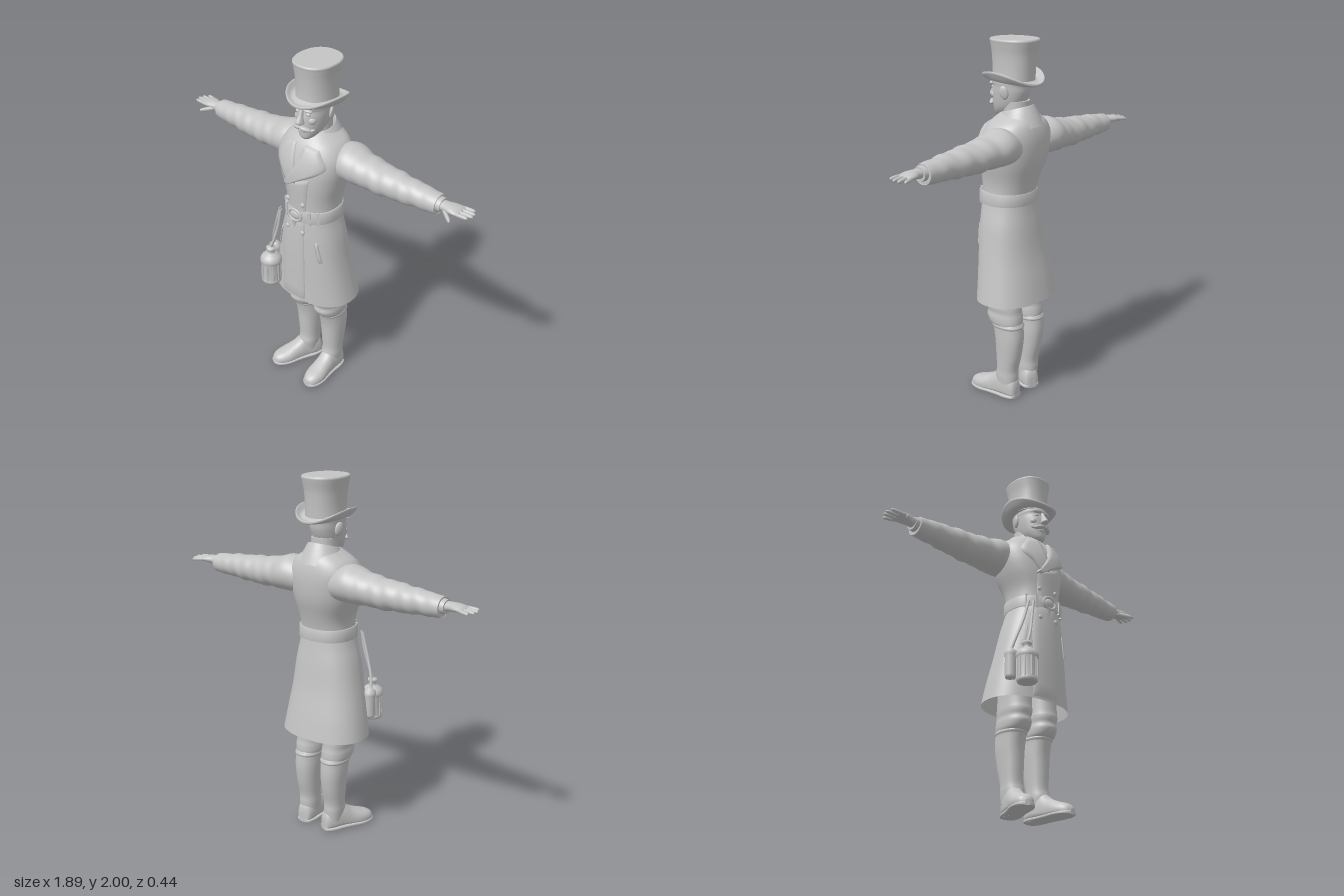
import * as THREE from 'three';

const clay = new THREE.MeshStandardMaterial({ color: 0xc4c4c4, side: THREE.DoubleSide });
clay.name = 'light grey clay';

function add(parent, name, geometry, position = [0, 0, 0], rotation = [0, 0, 0], scale = [1, 1, 1]) {
  const mesh = new THREE.Mesh(geometry, clay);
  mesh.name = name;
  mesh.position.set(...position);
  mesh.rotation.set(...rotation);
  mesh.scale.set(...scale);
  parent.add(mesh);
}

// Catmull-Rom subdivision of a list of cross-section rows
function smooth(rows, n = 5) {
  const out = [], last = rows.length - 1;
  for (let i = 0; i < last; i++) {
    const [p, a, b, q] = [rows[Math.max(i - 1, 0)], rows[i], rows[i + 1], rows[Math.min(i + 2, last)]];
    for (let k = 0; k < n; k++) {
      const t = k / n;
      out.push(a.map((v, c) => {
        const cubic = 3 * (v - b[c]) + q[c] - p[c];
        const square = 2 * p[c] - 5 * v + 4 * b[c] - q[c];
        return v + 0.5 * t * (b[c] - p[c] + t * (square + t * cubic));
      }));
    }
  }
  out.push(rows[last]);
  return out;
}

// Skin over rings: place(row, angle) gives a point; caps close both ends
function loft(rows, place, { seg = 40, caps = true, arc = [0, Math.PI * 2] } = {}) {
  const pos = [], idx = [], closed = arc[1] - arc[0] > 6.28, cols = closed ? seg : seg + 1;
  const ring = r => Array.from({ length: cols }, (_, j) => place(r, arc[0] + (arc[1] - arc[0]) * j / seg));
  rows.forEach(r => ring(r).forEach(p => pos.push(...p)));
  for (let i = 0; i < rows.length - 1; i++) for (let j = 0; j < seg; j++) {
    const a = i * cols + j, b = i * cols + (j + 1) % cols;
    idx.push(a, a + cols, b, b, a + cols, b + cols);
  }
  if (caps) [0, rows.length - 1].forEach(e => {
    const pts = ring(rows[e]), base = pos.length / 3;
    pts.forEach(p => pos.push(...p));
    pos.push(...[0, 1, 2].map(c => pts.reduce((s, p) => s + p[c], 0) / cols));
    for (let j = 0; j < cols; j++) {
      const k = (j + 1) % cols;
      if (e) idx.push(base + j, base + cols, base + k); else idx.push(base + k, base + cols, base + j);
    }
  });
  return meshFrom(pos, idx);
}

function meshFrom(pos, idx) {
  const g = new THREE.BufferGeometry();
  g.setAttribute('position', new THREE.Float32BufferAttribute(pos, 3));
  g.setIndex(idx);
  g.computeVertexNormals();
  return g;
}

const pw = (v, e) => Math.sign(v) * Math.abs(v) ** e;
const P = 2.3;
// Upright section: [y, centre x, half width, front z, back z]
const upright = ([y, cx, rx, zf, zb], a) => [
  cx + rx * pw(Math.cos(a), 2 / P), y, (zf + zb) / 2 + (zf - zb) / 2 * pw(Math.sin(a), 2 / P)];

const coatRows = smooth([
  [0.585, 0, 0.254, 0.142, -0.22], [0.7, 0, 0.235, 0.143, -0.2], [0.85, 0.004, 0.208, 0.145, -0.17],
  [1.0, 0.01, 0.182, 0.144, -0.15], [1.1, 0.014, 0.157, 0.14, -0.135], [1.17, 0.016, 0.145, 0.136, -0.13],
  [1.25, 0.014, 0.15, 0.14, -0.147], [1.35, 0.005, 0.182, 0.146, -0.178], [1.43, 0.002, 0.2, 0.142, -0.19],
  [1.5, 0, 0.2, 0.124, -0.19], [1.56, 0, 0.165, 0.096, -0.178], [1.6, 0, 0.11, 0.06, -0.155], [1.625, 0, 0.07, 0.03, -0.13]]);

// Depth of the coat's front surface at (x, y)
function frontZ(x, y) {
  let i = 1;
  while (i < coatRows.length - 1 && coatRows[i][0] < y) i++;
  const a = coatRows[i - 1], b = coatRows[i], t = Math.min(1, Math.max(0, (y - a[0]) / (b[0] - a[0])));
  const [, cx, rx, zf, zb] = a.map((v, c) => v + (b[c] - v) * t);
  const d = Math.min(1, Math.abs((x - cx) / rx));
  return (zf + zb) / 2 + (zf - zb) / 2 * (1 - d ** P) ** (1 / P);
}

// Cloth layer lying on the coat between two edges of [x, y] points
function clothPatch(edgeA, edgeB, lift) {
  const stops = [0, 0.03, 0.2, 0.35, 0.5, 0.65, 0.8, 0.97, 1];
  const A = smooth(edgeA, 6), B = smooth(edgeB, 6), pos = [], idx = [], n = stops.length;
  A.forEach((p, i) => stops.forEach((t, j) => {
    const x = p[0] + (B[i][0] - p[0]) * t, y = p[1] + (B[i][1] - p[1]) * t;
    const rim = j === 0 || j === n - 1 || i === 0 || i === A.length - 1;
    pos.push(x, y, frontZ(x, y) + (rim ? -0.004 : lift));
    if (i && j) { const d = i * n + j; idx.push(d - n - 1, d - 1, d - n, d - n, d - 1, d); }
  }));
  return meshFrom(pos, idx);
}

const tube = (pts, r) => new THREE.TubeGeometry(new THREE.CatmullRomCurve3(pts.map(p => new THREE.Vector3(...p))), 20, r, 8);
const lathe = pts => new THREE.LatheGeometry(pts.map(p => new THREE.Vector2(...p)), 28);
const ball = new THREE.SphereGeometry(1, 20, 14);

function buildHead(g) {
  add(g, 'neck', loft([[1.5, 0.005, 0.07, 0.03, -0.11], [1.68, 0.008, 0.066, 0.03, -0.11]], upright));
  add(g, 'head', loft(smooth([
    [1.592, 0.01, 0.022, 0.083, 0.03], [1.605, 0.01, 0.04, 0.094, -0.01], [1.635, 0.01, 0.06, 0.097, -0.055],
    [1.67, 0.01, 0.072, 0.1, -0.09], [1.72, 0.01, 0.081, 0.1, -0.112], [1.755, 0.01, 0.084, 0.094, -0.118],
    [1.78, 0.01, 0.086, 0.1, -0.122], [1.84, 0.01, 0.08, 0.08, -0.11]]), upright));
  add(g, 'nose', loft(smooth([
    [1.682, 0.01, 0.008, 0.112, 0.08], [1.692, 0.01, 0.02, 0.134, 0.08], [1.705, 0.01, 0.018, 0.137, 0.08],
    [1.735, 0.01, 0.011, 0.118, 0.08], [1.765, 0.01, 0.009, 0.103, 0.08]]), upright, { seg: 16 }));
  add(g, 'mouth', ball, [0.01, 1.645, 0.094], [0, 0, 0], [0.025, 0.008, 0.01]);
  for (const s of [-1, 1]) {
    add(g, 'moustache', ball, [0.01 + s * 0.026, 1.662, 0.1], [0, s * 0.45, -s * 0.25], [0.034, 0.012, 0.016]);
    add(g, 'moustacheTip', ball, [0.01 + s * 0.054, 1.656, 0.082], [0, s * 0.7, s * 0.3], [0.018, 0.006, 0.008]);
    add(g, 'brow', ball, [0.01 + s * 0.036, 1.765, 0.092], [0, s * 0.3, -s * 0.1], [0.027, 0.008, 0.013]);
    add(g, 'eye', ball, [0.01 + s * 0.034, 1.742, 0.083], [0, 0, 0], [0.015, 0.01, 0.013]);
    add(g, 'cheek', ball, [0.01 + s * 0.045, 1.705, 0.072], [0, s * 0.5, 0], [0.024, 0.022, 0.018]);
    add(g, 'ear', ball, [0.01 + s * 0.09, 1.727, -0.03], [0.2, s * 0.35, -s * 0.15], [0.012, 0.037, 0.024]);
  }
}

function buildHat(g) {
  add(g, 'hatCrown', loft(smooth([
    [1.785, 0.01, 0.1, 0.092, -0.137], [1.85, 0.01, 0.098, 0.09, -0.14], [1.92, 0.009, 0.102, 0.094, -0.146],
    [1.975, 0.008, 0.112, 0.101, -0.158], [1.992, 0.008, 0.115, 0.104, -0.161], [2.0, 0.008, 0.11, 0.1, -0.156]]), upright));
  // Curled brim, turned up at the sides: [half width, half depth, y, side lift]
  add(g, 'hatBrim', loft(smooth([
    [0.085, 0.1, 1.785, 0], [0.125, 0.14, 1.775, 0.012], [0.15, 0.164, 1.776, 0.045], [0.156, 0.167, 1.785, 0.05],
    [0.15, 0.163, 1.791, 0.048], [0.125, 0.14, 1.788, 0.02], [0.095, 0.112, 1.8, 0.008]], 4),
    ([rx, rz, y, lift], a) => [0.012 + rx * Math.cos(a), y + lift * Math.cos(a) ** 2 + 0.012 * Math.sin(a), -0.022 + rz * Math.sin(a)],
    { seg: 56, caps: false }));
}

function buildCoat(g) {
  add(g, 'coat', loft(coatRows, upright, { seg: 64, caps: false }));
  const collar = smooth([[0.145, 0.14, 1.555, 0.1], [0.122, 0.12, 1.6, 0.09], [0.09, 0.095, 1.65, 0.06],
    [0.078, 0.086, 1.658, 0.05], [0.07, 0.078, 1.6, 0.04]]);
  add(g, 'collar', loft(collar, ([rx, rz, y, drop], a) => [
    0.004 + rx * Math.cos(a), y - drop * (1 + Math.sin(a)) / 2, -0.047 + rz * Math.sin(a)],
    { seg: 48, caps: false, arc: [Math.PI * 0.62, Math.PI * 2.38] }));
  add(g, 'rightLapel', clothPatch([[-0.1, 1.555], [-0.155, 1.47], [-0.1, 1.4], [-0.055, 1.34]],
    [[-0.03, 1.57], [-0.015, 1.5], [0, 1.42], [0.01, 1.35]], 0.012));
  add(g, 'leftLapel', clothPatch([[0.035, 1.57], [0.015, 1.49], [-0.03, 1.4], [-0.08, 1.325]],
    [[0.11, 1.555], [0.16, 1.46], [0.05, 1.39], [-0.06, 1.32]], 0.018));
  add(g, 'frontPanel', clothPatch([[-0.1, 1.15], [-0.1, 0.9], [-0.1, 0.587]], [[0.06, 1.15], [0.062, 0.9], [0.064, 0.587]], 0.008));
  add(g, 'chestPanel', clothPatch([[-0.07, 1.335], [-0.065, 1.26], [-0.06, 1.16]], [[0.09, 1.4], [0.075, 1.28], [0.062, 1.16]], 0.007));
  for (const s of [-1, 1]) add(g, 'pocketWelt',
    clothPatch([[s * 0.118, 1.01], [s * 0.145, 0.87]], [[s * 0.132, 1.015], [s * 0.16, 0.877]], 0.007));
  add(g, 'necktie', ball, [0.006, 1.575, 0.052], [0.2, 0, 0], [0.022, 0.03, 0.016]);
  for (const y of [1.235, 1.06]) for (const x of [-0.055, 0.055])
    add(g, 'button', ball, [x, y, frontZ(x, y) + 0.01], [0, 0, 0], [0.013, 0.013, 0.008]);
}

function buildBelt(g) {
  const row = (y, grow) => [y, 0.016, 0.147 + grow, 0.138 + grow, -0.131 - grow];
  add(g, 'belt', loft([row(1.125, 0.002), row(1.127, 0.012), row(1.19, 0.01), row(1.193, -0.004)], upright, { seg: 64, caps: false }));
  add(g, 'buckle', new THREE.TorusGeometry(0.034, 0.008, 8, 28), [0.005, 1.158, 0.153], [0, 0, 0], [1.25, 1, 0.9]);
  add(g, 'bucklePlate', ball, [0.005, 1.158, 0.15], [0, 0, 0], [0.034, 0.026, 0.012]);
  add(g, 'beltEnd', new THREE.ConeGeometry(0.02, 0.055, 12), [0.0, 1.1, 0.15], [Math.PI, 0, 0], [1, 1, 0.5]);
  for (const x of [-0.11, -0.07, 0.09, 0.13])
    add(g, 'beltLoop', new THREE.BoxGeometry(0.016, 0.08, 0.012), [x, 1.158, frontZ(x, 1.158) + 0.012], [0, x * 4, 0]);
}

function buildArm(g, s) {
  const along = ([x, cy, cz, ry, rz, fold], a) => {
    const k = 1 + fold * Math.sin(x * 75 + 2 * a) + fold * Math.sin(x * 43 - a);
    return [s * x, cy + ry * k * Math.cos(a), cz - s * rz * k * Math.sin(a)];
  };
  add(g, 'sleeve', loft(smooth([
    [0.1, 1.45, -0.07, 0.085, 0.095, 0], [0.2, 1.464, -0.073, 0.1, 0.115, 0], [0.3, 1.451, -0.07, 0.086, 0.1, 0.02],
    [0.42, 1.442, -0.069, 0.079, 0.089, 0.025], [0.55, 1.44, -0.07, 0.07, 0.075, 0.03], [0.66, 1.438, -0.073, 0.061, 0.064, 0.025],
    [0.745, 1.437, -0.075, 0.054, 0.057, 0], [0.752, 1.437, -0.075, 0.05, 0.053, 0]], 8), along));
  add(g, 'shirtCuff', loft([[0.74, 1.442, -0.073, 0.04, 0.044, 0], [0.775, 1.442, -0.073, 0.035, 0.04, 0]], along));
  add(g, 'palm', loft(smooth([
    [0.73, 1.442, -0.072, 0.028, 0.034, 0], [0.79, 1.446, -0.07, 0.024, 0.034, 0], [0.83, 1.448, -0.072, 0.021, 0.045, 0],
    [0.865, 1.447, -0.075, 0.015, 0.047, 0], [0.88, 1.446, -0.076, 0.008, 0.038, 0]]), along, { seg: 24 }));
  const finger = (name, x0, y0, z0, x1, y1, z1, r) => add(g, name, loft(smooth([
    [0, 0.9], [0.5, 1], [0.85, 0.85], [0.96, 0.55], [1, 0.1]], 3), ([t, k], a) => [
    s * (x0 + (x1 - x0) * t), y0 + (y1 - y0) * t + r * k * Math.cos(a), z0 + (z1 - z0) * t - s * r * k * Math.sin(a)], { seg: 12 }));
  [[0.922, -0.128], [0.94, -0.1], [0.944, -0.072], [0.932, -0.042]].forEach(([tip, z], i) =>
    finger('finger', 0.85, 1.447, -0.11 + i * 0.024, tip, 1.441 + i * 0.002, z, 0.0105));
  finger('thumb', 0.79, 1.436, -0.05, 0.862, 1.418, 0.0, 0.013);
}

function buildLeg(g, s) {
  const hip = s < 0 ? -0.083 : 0.1, ankle = s < 0 ? -0.07 : 0.107;
  const rows = list => smooth(list.map(([y, rx, zf, zb]) => [y, ankle + (hip - ankle) * Math.min(1, y / 0.5), rx, zf, zb]));
  add(g, 'breeches', loft(rows([[0.43, 0.058, 0.02, -0.13], [0.45, 0.073, 0.05, -0.142], [0.485, 0.076, 0.07, -0.142], [0.515, 0.073, 0.066, -0.137],
    [0.55, 0.077, 0.075, -0.135], [0.62, 0.076, 0.07, -0.13], [0.95, 0.08, 0.08, -0.12]]), upright));
  add(g, 'bootShaft', loft(rows([[0.06, 0.05, 0.0, -0.115], [0.12, 0.055, 0.012, -0.12], [0.17, 0.055, 0.004, -0.12], [0.26, 0.061, 0.008, -0.14],
    [0.35, 0.067, 0.014, -0.151], [0.42, 0.068, 0.028, -0.149], [0.445, 0.071, 0.037, -0.147], [0.452, 0.067, 0.033, -0.143]]), upright));
  add(g, 'bootTopSeam', loft(rows([[0.425, 0.068, 0.03, -0.148], [0.435, 0.073, 0.036, -0.152], [0.445, 0.07, 0.035, -0.148]]), upright, { caps: false }));
  // Foot, built around the ankle and turned outward
  const foot = new THREE.Group();
  foot.name = 'foot';
  foot.position.set(ankle, 0.008, -0.06);
  foot.rotation.y = s < 0 ? -0.42 : 0.04;
  g.add(foot);
  const shoe = smooth([[-0.066, 0.02, 0.06], [-0.055, 0.041, 0.1], [-0.01, 0.052, 0.145], [0.05, 0.051, 0.14], [0.1, 0.053, 0.103],
    [0.16, 0.058, 0.075], [0.205, 0.05, 0.06], [0.235, 0.033, 0.044], [0.247, 0.01, 0.025]]);
  add(foot, 'shoe', loft(shoe, ([z, rx, h], a) => [
    -rx * pw(Math.cos(a), 0.8), h * (0.35 + (Math.sin(a) > 0 ? 0.65 * Math.sin(a) : 0.35 * pw(Math.sin(a), 0.5))), z]));
  add(foot, 'sole', loft(shoe, ([z, rx], a) => [-(rx + 0.004) * pw(Math.cos(a), 0.5), 0.002 + 0.01 * pw(Math.sin(a), 0.5), z * 1.01]));
  add(foot, 'heel', new THREE.CylinderGeometry(0.046, 0.044, 0.026, 24), [0, 0.005, -0.014]);
}

function buildLantern(g) {
  const [x, z] = [-0.17, 0.162];
  add(g, 'lantern', lathe([[0, 0.64], [0.05, 0.64], [0.056, 0.648], [0.056, 0.66], [0.052, 0.664], [0.052, 0.772], [0.061, 0.776],
    [0.061, 0.796], [0.05, 0.815], [0.026, 0.83], [0.018, 0.834], [0.018, 0.85], [0.026, 0.854], [0.026, 0.868], [0, 0.874]]), [x, 0, z]);
  for (let i = 0; i < 10; i++) {
    const a = i * Math.PI / 5;
    add(g, 'lanternRib', new THREE.CylinderGeometry(0.005, 0.005, 0.11, 6), [x + 0.053 * Math.cos(a), 0.718, z + 0.053 * Math.sin(a)]);
  }
  add(g, 'lanternStrap', tube([[-0.105, 1.14, 0.142], [-0.125, 1.02, 0.148], [-0.15, 0.92, 0.16], [-0.17, 0.865, 0.162]], 0.008));
  add(g, 'caseStrap', tube([[-0.125, 1.14, 0.125], [-0.16, 1.02, 0.122], [-0.2, 0.9, 0.105], [-0.215, 0.83, 0.085]], 0.008));
  add(g, 'smallCase', lathe([[0, 0.67], [0.026, 0.675], [0.03, 0.69], [0.03, 0.8], [0.034, 0.803], [0.034, 0.825], [0.015, 0.845], [0, 0.85]]), [-0.212, 0, 0.08]);
}

export function createModel() {
  const model = new THREE.Group();
  model.name = 'manInTopHat';
  const section = (name, build, side) => {
    const g = new THREE.Group();
    g.name = name;
    build(g, side);
    model.add(g);
  };
  section('headGroup', buildHead);
  section('hat', buildHat);
  section('overcoat', buildCoat);
  section('beltGroup', buildBelt);
  for (const s of [-1, 1]) {
    const side = s < 0 ? 'right' : 'left';
    section(side + 'Arm', buildArm, s);
    section(side + 'Leg', buildLeg, s);
  }
  section('lanternGroup', buildLantern);
  return model;
}
